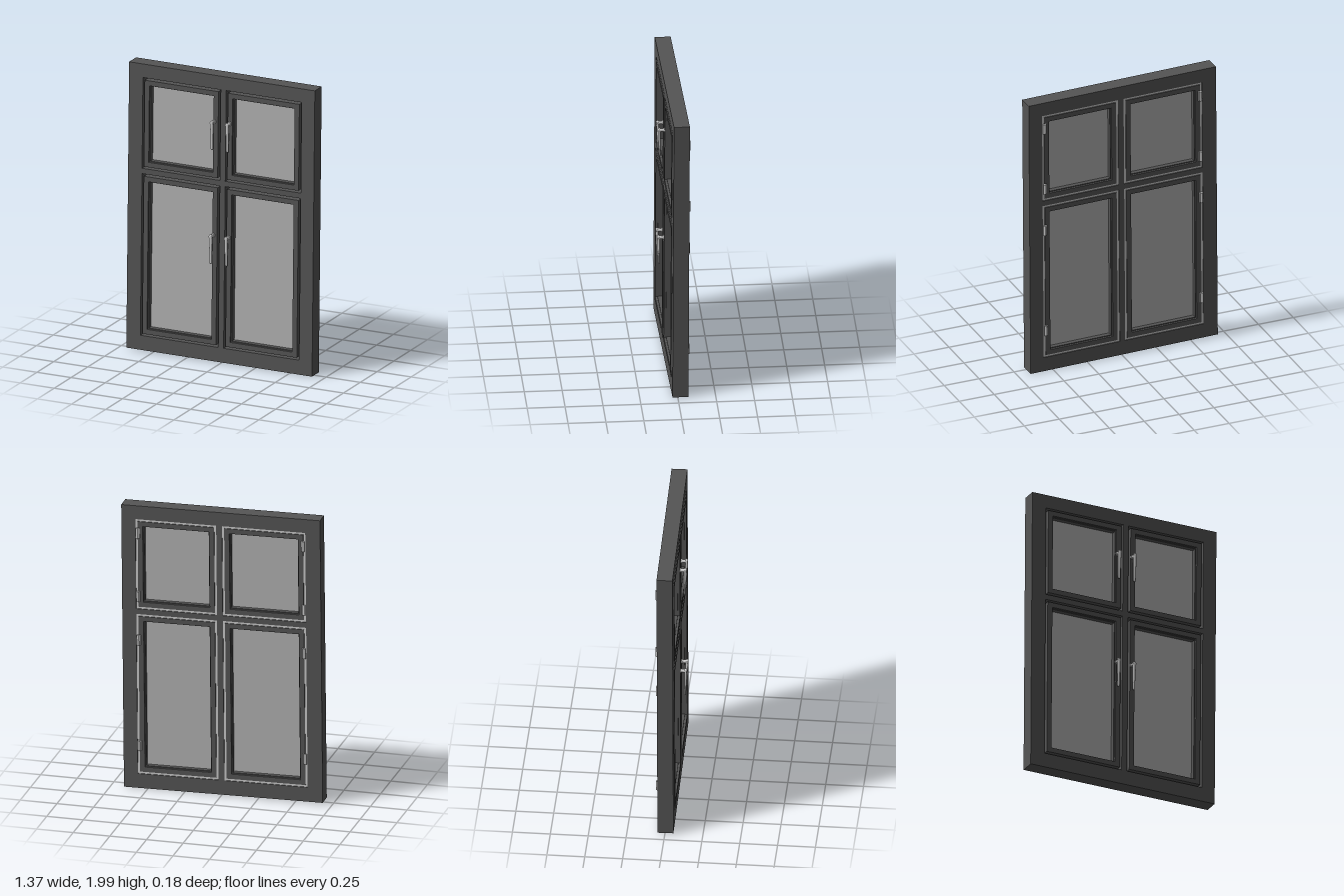
import * as THREE from 'three';

const mat = (color) => new THREE.MeshStandardMaterial({ color });
const frameMat = mat(0x555555);
const glassMat = mat(0xb4b4b4);
const metalMat = mat(0xcccccc);

const DEPTH = 0.105;
const GAP = 0.015;

function mesh(name, geometry, material, x = 0, y = 0, z = 0) {
  const m = new THREE.Mesh(geometry, material);
  m.name = name;
  m.position.set(x, y, z);
  return m;
}

// Rectangle given as [left, right, bottom, top]
function trace(path, [l, r, b, t]) {
  path.moveTo(l, b);
  path.lineTo(r, b);
  path.lineTo(r, t);
  path.lineTo(l, t);
  path.closePath();
  return path;
}
const inset = ([l, r, b, t], d) => [l + d, r - d, b + d, t - d];

// Flat plate with rectangular holes, running from z0 to z1
function plate(outer, holes, z0, z1) {
  const shape = trace(new THREE.Shape(), outer);
  holes.forEach((h) => shape.holes.push(trace(new THREE.Path(), h)));
  const g = new THREE.ExtrudeGeometry(shape, { depth: z1 - z0, bevelEnabled: false });
  return g.translate(0, 0, z0);
}

// Sash with glazing bead, pane and rear seal
function makeSash(opening) {
  const sash = new THREE.Group();
  sash.name = 'sash';
  const rim = inset(opening, GAP);
  const inner = inset(rim, 0.034);
  const pane = inset(rim, 0.04);
  const h = DEPTH / 2;
  sash.add(
    mesh('sashFrame', plate(rim, [inner], -h, h + 0.003), frameMat),
    mesh('glazingBead', plate(inner, [pane], -h + 0.015, h - 0.012), frameMat),
    mesh('glassPane', plate(pane, [], -0.006, 0.006), glassMat),
    mesh('seal', plate(opening, [rim], -h + 0.006, -h + 0.016), metalMat),
  );
  return sash;
}

// Lever handle: rose, neck and tapered grip hanging down
function makeHandle(x, y) {
  const handle = new THREE.Group();
  handle.name = 'handle';
  const rose = new THREE.CylinderGeometry(0.014, 0.015, 0.008, 20).rotateX(Math.PI / 2);
  const neck = new THREE.CylinderGeometry(0.013, 0.01, 0.04, 20).rotateX(Math.PI / 2);
  const profile = [[0, -0.19], [0.007, -0.188], [0.009, -0.18], [0.009, -0.14], [0.012, -0.02], [0.013, 0.008], [0.009, 0.013], [0, 0.014]];
  const grip = new THREE.LatheGeometry(profile.map(([r, h]) => new THREE.Vector2(r, h)), 20);
  grip.scale(1, 1, 0.75);
  const lever = mesh('lever', grip, metalMat, 0, 0, 0.036);
  lever.rotation.x = 0.03;
  handle.add(
    mesh('rose', rose, metalMat, 0, 0, 0.004),
    mesh('neck', neck, metalMat, 0, 0, 0.022),
    lever,
  );
  handle.position.set(x, y, DEPTH / 2 + 0.003);
  return handle;
}

// Barrel hinge with a leaf on the back
function makeHinge(x, y) {
  const hinge = new THREE.Group();
  hinge.name = 'hinge';
  hinge.add(
    mesh('barrel', new THREE.CylinderGeometry(0.009, 0.009, 0.07, 14), metalMat, 0, 0, -0.007),
    mesh('leaf', new THREE.BoxGeometry(0.016, 0.07, 0.012), metalMat, -Math.sign(x) * 0.009, 0, -0.003),
  );
  hinge.position.set(x, y, -DEPTH / 2);
  return hinge;
}

export function createModel() {
  const window = new THREE.Group();
  window.name = 'window';

  // Four openings: two columns by two rows
  const columns = [[-0.574, -0.008], [0.031, 0.58]];
  const rows = [[0.267, 0.895], [-0.889, 0.23]];
  const openings = columns.flatMap((c) => rows.map((r) => [...c, ...r]));
  window.add(mesh('outerFrame', plate([-0.675, 0.675, -0.989, 0.989], openings, -DEPTH / 2, DEPTH / 2), frameMat));
  openings.forEach((o) => window.add(makeSash(o)));

  for (const x of [-0.052, 0.06]) {
    for (const y of [0.67, -0.117]) window.add(makeHandle(x, y));
  }
  for (const x of [-0.562, 0.568]) {
    for (const y of [0.8, 0.355, 0.05, -0.69]) window.add(makeHinge(x, y));
  }

  // The whole window leans very slightly
  window.rotation.set(-0.004, 0.0165, -0.0085);
  window.position.set(-0.004, 1, -0.011);

  const model = new THREE.Group();
  model.name = 'casementWindow';
  model.add(window);
  return model;
}
